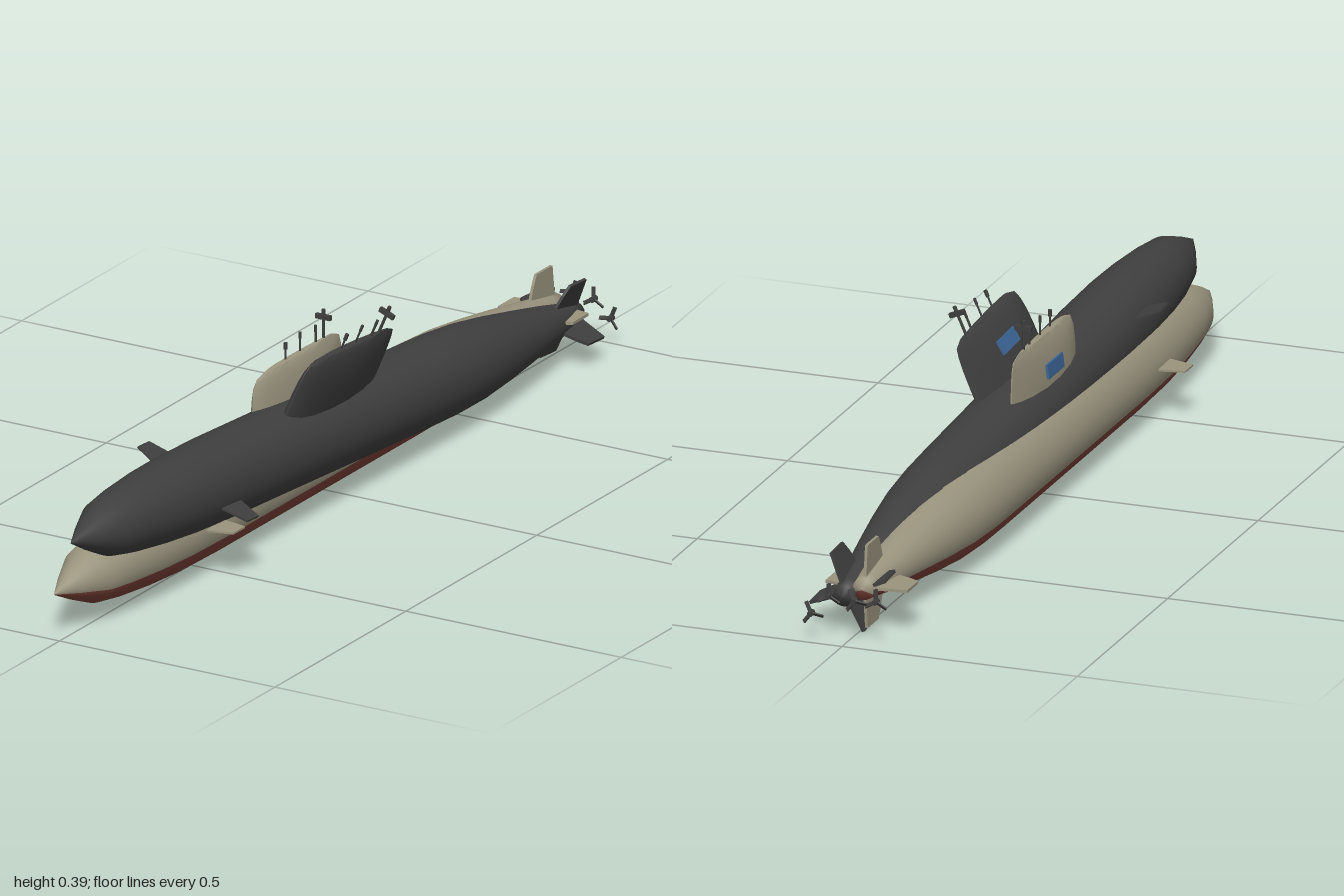
import * as THREE from 'three';
import { toCreasedNormals } from 'three/addons/utils/BufferGeometryUtils.js';

const mat = (name, color) => new THREE.MeshStandardMaterial({ name, color });

function add(parent, name, geometry, material, x = 0, y = 0, z = 0) {
  const m = new THREE.Mesh(geometry, material);
  m.name = name;
  m.position.set(x, y, z);
  parent.add(m);
  return m;
}

// Hull radius along z, stern to bow
const PROFILE = [
  [0, -0.925], [0.022, -0.92], [0.026, -0.89], [0.042, -0.8], [0.057, -0.7], [0.071, -0.6],
  [0.082, -0.5], [0.087, -0.4], [0.088, -0.3], [0.088, 0.45], [0.085, 0.6], [0.079, 0.7],
  [0.069, 0.8], [0.058, 0.87], [0.03, 0.937], [0, 1],
].map(([r, z]) => new THREE.Vector2(r, z));

// Sector of the hull; angle 0 is straight down
function hullSector(startDeg, sweepDeg) {
  const d = Math.PI / 180;
  return new THREE.LatheGeometry(PROFILE, Math.round(sweepDeg / 5), startDeg * d, sweepDeg * d)
    .rotateX(Math.PI / 2);
}

// Conning tower: teardrop rings that narrow towards the top
function sailGeometry() {
  const plan = [[0, 0.06], [0.03, 0.4], [0.1, 0.72], [0.22, 0.93], [0.4, 1], [0.6, 0.92], [0.8, 0.65], [0.93, 0.34], [1, 0.06]];
  const levels = [ // y, half width, front z, back z
    [0.05, 0.028, 0.24, -0.098], [0.13, 0.027, 0.24, -0.098], [0.16, 0.0235, 0.239, -0.097],
    [0.185, 0.0185, 0.236, -0.094], [0.203, 0.0125, 0.225, -0.088], [0.213, 0.007, 0.19, -0.06], [0.215, 0.003, 0.15, -0.02],
  ];
  const rings = levels.map(([y, w, f, b]) => {
    const side = plan.map(([t, k]) => [w * k, y, f + (b - f) * t]);
    return [...side, ...side.slice().reverse().map(([x, yy, z]) => [-x, yy, z])];
  });
  const pos = [];
  const n = rings[0].length;
  for (let j = 0; j < rings.length - 1; j++) {
    for (let i = 0; i < n; i++) {
      const k = (i + 1) % n;
      const [a, b, c, d] = [rings[j][i], rings[j][k], rings[j + 1][k], rings[j + 1][i]];
      pos.push(...a, ...b, ...c, ...a, ...c, ...d);
    }
  }
  const top = rings[rings.length - 1];
  for (let i = 1; i < n - 1; i++) pos.push(...top[0], ...top[i], ...top[i + 1]);
  const g = new THREE.BufferGeometry();
  g.setAttribute('position', new THREE.Float32BufferAttribute(pos, 3));
  return toCreasedNormals(g, 0.6);
}

// Flat fin reaching out along +x, outline given as [x, z]
function finGeometry(outline, thickness) {
  const shape = new THREE.Shape(outline.map(([x, z]) => new THREE.Vector2(x, z)));
  return new THREE.ExtrudeGeometry(shape, { depth: thickness, bevelEnabled: false })
    .translate(0, 0, -thickness / 2).rotateX(Math.PI / 2);
}

function propeller(material) {
  const g = new THREE.Group();
  g.name = 'propeller';
  add(g, 'propellerHub', new THREE.CylinderGeometry(0.006, 0.006, 0.016, 12).rotateX(Math.PI / 2), material);
  for (let i = 0; i < 3; i++) {
    const arm = new THREE.Group();
    arm.name = 'propellerBlade';
    arm.rotation.z = (i * Math.PI * 2) / 3;
    const blade = add(arm, 'blade', new THREE.BoxGeometry(0.008, 0.024, 0.003), material, 0, 0.014, 0);
    blade.rotation.y = 0.6;
    g.add(arm);
  }
  return g;
}

function submarine(name, upper, lower, fittings, flag) {
  const sub = new THREE.Group();
  sub.name = name;
  add(sub, 'upperHull', hullSector(70, 220), upper);
  add(sub, 'lowerHull', hullSector(-70, 140), lower);
  add(sub, 'sail', sailGeometry(), upper);

  // Painted panel on the right side of the sail
  const panel = add(sub, 'sailPanel', new THREE.BoxGeometry(0.005, 0.03, 0.085), flag, -0.0262, 0.148, 0.075);
  panel.rotation.z = -0.13;

  // Masts: z, top, radius, head radius
  for (const [z, top, r, head] of [[0.115, 0.25, 0.002, 0.004], [0.06, 0.255, 0.002, 0.003], [0, 0.25, 0.0025, 0.003], [-0.03, 0.274, 0.003, 0.004]]) {
    add(sub, 'mast', new THREE.CylinderGeometry(r, r, top - 0.17, 10), fittings, 0, (top + 0.17) / 2, z);
    add(sub, 'mastHead', new THREE.CylinderGeometry(head, head, 0.014, 10), fittings, 0, top - 0.007, z);
  }
  add(sub, 'radarBar', new THREE.BoxGeometry(0.035, 0.01, 0.008), fittings, 0, 0.258, -0.03);

  // Bow planes
  const bow = finGeometry([[0.05, 0.49], [0.09, 0.49], [0.14, 0.5], [0.14, 0.543], [0.09, 0.558], [0.05, 0.56]], 0.004);
  for (const a of [0, Math.PI]) add(sub, 'bowPlane', bow, upper, 0, 0.01, 0).rotation.z = a;

  // Cross of stern fins
  const stern = finGeometry([[0.01, -0.91], [0.087, -0.9], [0.087, -0.84], [0.065, -0.828], [0.03, -0.815], [0.01, -0.815]], 0.006);
  for (let i = 0; i < 4; i++) add(sub, 'sternFin', stern, upper).rotation.z = (i * Math.PI) / 2;

  // Twin propellers
  for (const s of [-1, 1]) {
    const p = propeller(fittings);
    p.position.set(s * 0.05, 0, -0.979);
    sub.add(p);
  }
  return sub;
}

export function createModel() {
  const beige = mat('beige paint', 0x9a947e);
  const red = mat('red antifouling', 0x7c4138);
  const dark = mat('dark grey', 0x3f3f3f);
  const blue = mat('blue panel', 0x3d6798);

  const model = new THREE.Group();
  model.name = 'submarines';

  const light = submarine('lightSubmarine', beige, red, dark, blue);
  light.position.set(-0.0135, 0.09, 0);
  model.add(light);

  // Second boat, rolled and pitched bow up
  const second = submarine('darkSubmarine', dark, dark, dark, blue);
  second.rotation.set(-0.065, -0.004, -0.384, 'YXZ');
  second.position.set(0.02, 0.135, -0.013);
  model.add(second);
  return model;
}
